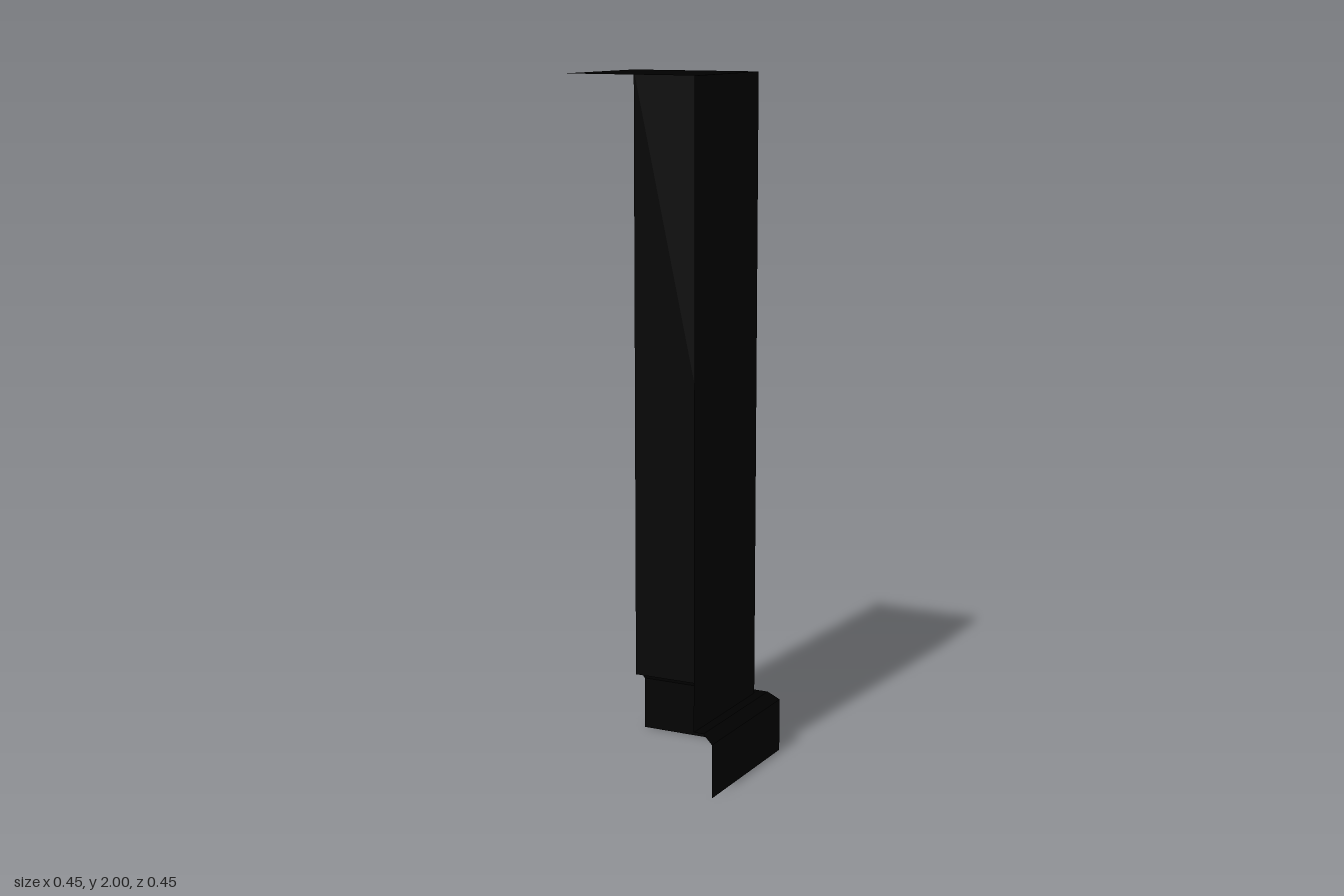
import * as THREE from 'three';

const END = 0.227;   // open ends of the two walls
const WALL = 0.17;   // outward offset of the wall faces
const material = new THREE.MeshStandardMaterial({ color: 0x000000, side: THREE.DoubleSide });

// Sweeps an [offset, height] profile (top to bottom) along the mitred corner path.
function cornerSweep(name, profile) {
  const path = (d) => [[-END, -d], [d, -d], [d, END]];
  const positions = [];
  for (let i = 0; i < profile.length - 1; i++) {
    const [d0, y0] = profile[i];
    const [d1, y1] = profile[i + 1];
    const upper = path(d0).map(([x, z]) => [x, y0, z]);
    const lower = path(d1).map(([x, z]) => [x, y1, z]);
    for (let j = 0; j < 2; j++) {
      const [a, b, c, d] = [upper[j], upper[j + 1], lower[j + 1], lower[j]];
      positions.push(...a, ...b, ...c, ...a, ...c, ...d);
    }
  }
  const geometry = new THREE.BufferGeometry();
  geometry.setAttribute('position', new THREE.Float32BufferAttribute(positions, 3));
  geometry.computeVertexNormals();
  const mesh = new THREE.Mesh(geometry, material);
  mesh.name = name;
  return mesh;
}

export function createModel() {
  const group = new THREE.Group();
  group.name = 'cornerWall';

  // Two tall walls meeting at the back left corner
  group.add(cornerSweep('walls', [[WALL, 2], [WALL, 0.185]]));

  // Skirting with a flat ledge and a chamfered upper edge
  group.add(cornerSweep('skirting', [[WALL, 0.185], [0.2, 0.185], [END, 0.157], [END, 0]]));

  // Square cap over the walls
  const size = WALL + END;
  const cap = new THREE.Mesh(new THREE.PlaneGeometry(size, size).rotateX(-Math.PI / 2), material);
  cap.name = 'topCap';
  cap.position.set((WALL - END) / 2, 2, (END - WALL) / 2);
  group.add(cap);

  return group;
}
